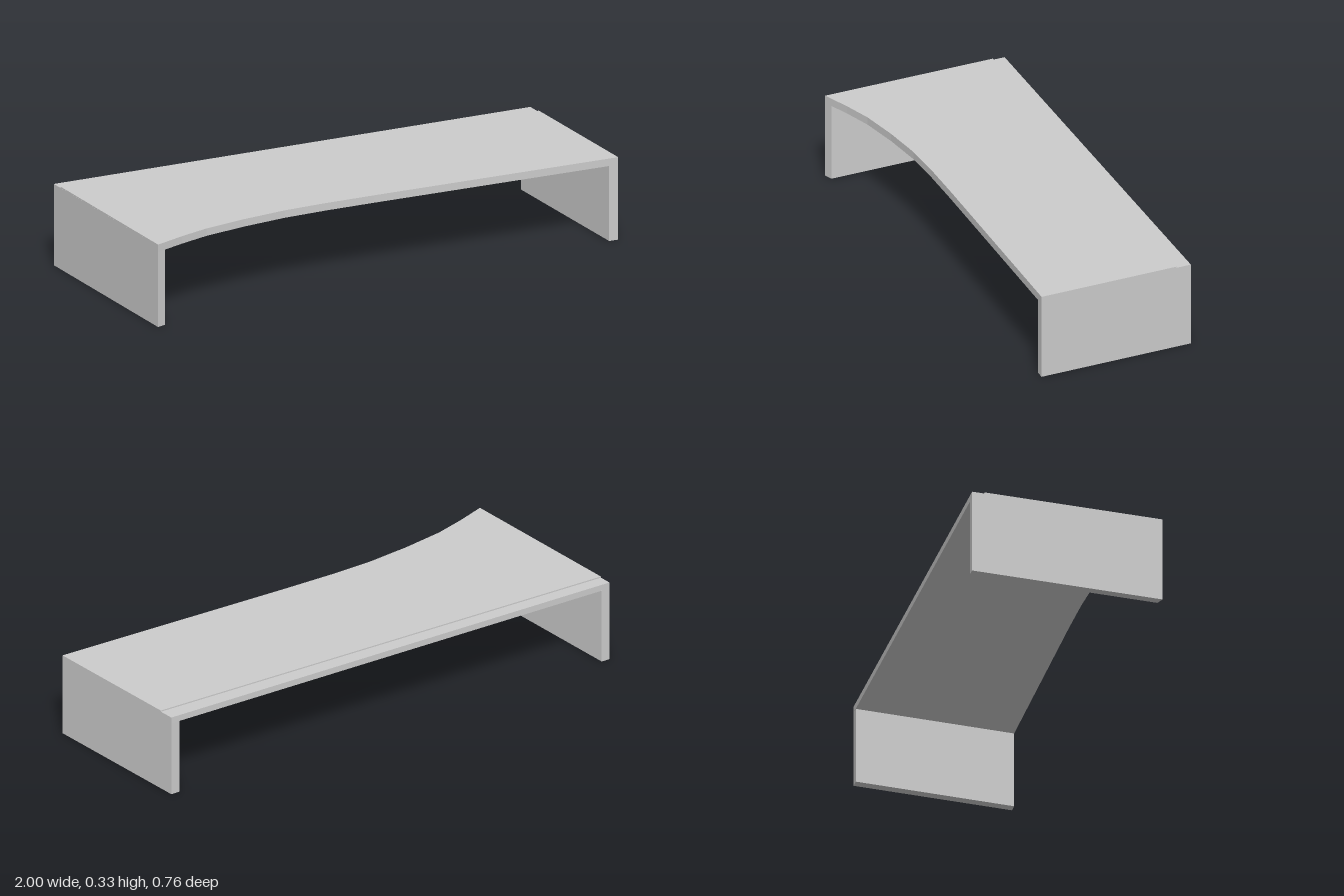
import * as THREE from 'three';

const material = new THREE.MeshStandardMaterial({ color: 0xcccccc, flatShading: true });

// Upright prism from a plan outline of [x, z] points
function prism(name, plan, bottom, top) {
  const shape = new THREE.Shape(plan.map(([x, z]) => new THREE.Vector2(x, -z)));
  const geometry = new THREE.ExtrudeGeometry(shape, { depth: top - bottom, bevelEnabled: false });
  geometry.rotateX(-Math.PI / 2).translate(0, bottom, 0);
  const mesh = new THREE.Mesh(geometry, material);
  mesh.name = name;
  return mesh;
}

export function createModel() {
  const group = new THREE.Group();
  group.name = 'bench';
  const underside = 0.302, ledge = 0.327, top = 0.332;

  // Front edge: bowed inwards near the right end, then straight
  const front = [[-0.96, 0.38], [-0.84, 0.344], [-0.72, 0.315], [-0.55, 0.295],
    [-0.37, 0.285], [-0.2, 0.29], [0, 0.303], [1, 0.38]];
  const backRight = [-1, -0.38], backLeft = [0.963, -0.254];

  // Slab, with a raised surface that stops short of the back edge
  group.add(prism('slab', [...front, backLeft, backRight], underside, ledge));
  group.add(prism('topSurface', [...front, [0.967, -0.193], [-0.997, -0.33]], ledge, top));

  // End panels follow the slanted ends of the slab
  group.add(prism('rightPanel',
    [backRight, [-0.96, 0.38], [-0.925, 0.37], [-0.965, -0.378]], 0, underside));
  group.add(prism('leftPanel',
    [backLeft, [1, 0.38], [0.963, 0.377], [0.925, -0.256]], 0, underside));
  return group;
}
